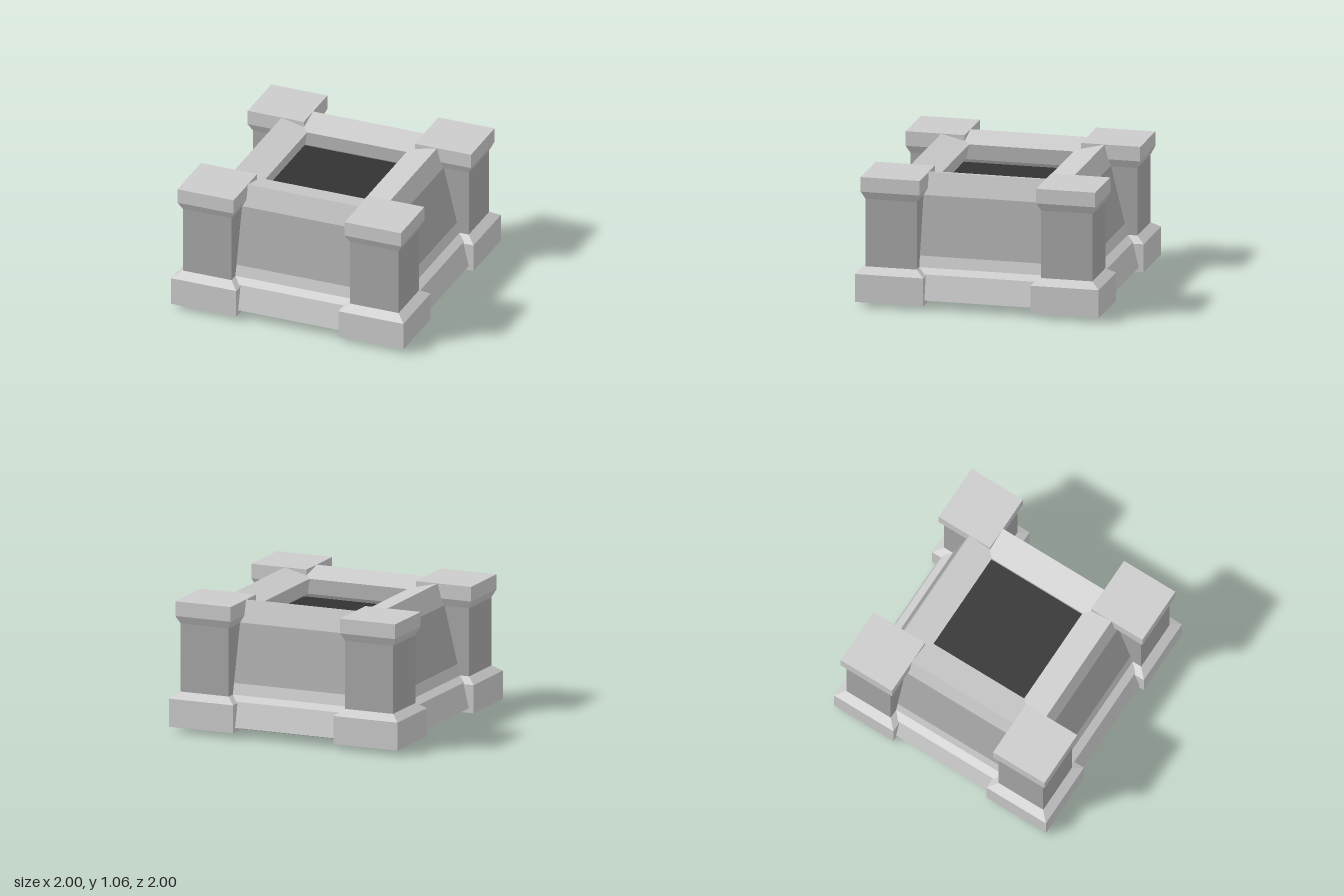
import * as THREE from 'three';

const material = (color) => new THREE.MeshStandardMaterial({ color, flatShading: true });
const light = material(0xcccccc);
const mid = material(0xa8a8a8);
const dark = material(0x333333);

// Post parts: four-sided profiles of [half width, height], bottom to top
const postParts = [
  ['foot', light, [[0, 0.04], [0.28, 0.04], [0.28, 0.27], [0.21, 0.32]]],
  ['shaft', mid, [[0.21, 0.32], [0.21, 0.875]]],
  ['cap', light, [[0.21, 0.875], [0.242, 0.94], [0.242, 1.06], [0, 1.06]]],
];

// Wall parts: sections of [distance outwards, distance upwards] in the leaning frame,
// with a plinth and a coping that step out on the inside
const lean = Math.atan2(0.237, 0.971);
const wallParts = [
  ['plinth', light, [[0.651, -0.159], [0.951, -0.152], [0.951, 0.056], [0.902, 0.109], [0.902, 0.202],
    [0.7, 0.202], [0.7, 0.109], [0.651, 0.056]]],
  ['panel', mid, [[0.7, 0.202], [0.902, 0.202], [0.902, 0.685], [0.7, 0.685]]],
  ['coping', light, [[0.7, 0.685], [0.902, 0.685], [0.902, 0.87], [0.653, 0.87], [0.653, 0.735]]],
];

// Square turned part
function turned(profile) {
  const points = profile.map(([h, y]) => new THREE.Vector2(h * Math.SQRT2, y));
  return new THREE.LatheGeometry(points, 4).rotateY(Math.PI / 4);
}

// Section extruded along z, facing +x and leaning inwards
function leaning(section) {
  const shape = new THREE.Shape(section.map(([x, y]) => new THREE.Vector2(x, y)));
  return new THREE.ExtrudeGeometry(shape, { depth: 1.02, bevelEnabled: false })
    .translate(0, 0, -0.51)
    .rotateZ(lean);
}

function assemble(name, parts, build) {
  const group = new THREE.Group();
  group.name = name;
  for (const [part, mat, outline] of parts) {
    const mesh = new THREE.Mesh(build(outline), mat);
    mesh.name = part;
    group.add(mesh);
  }
  return group;
}

export function createModel() {
  const model = new THREE.Group();
  model.name = 'walledPlinth';

  // Corner posts
  for (const [side, x] of [['Left', 0.72], ['Right', -0.72]]) {
    for (const [end, z] of [['front', 0.72], ['back', -0.72]]) {
      const post = assemble(`${end}${side}Post`, postParts, turned);
      post.position.set(x, 0, z);
      model.add(post);
    }
  }

  // Leaning walls between the posts
  ['leftWall', 'backWall', 'rightWall', 'frontWall'].forEach((name, i) => {
    const wall = assemble(name, wallParts, leaning);
    wall.rotation.y = (i * Math.PI) / 2;
    model.add(wall);
  });

  // Dark slab sunk in the opening
  const slab = new THREE.Mesh(new THREE.BoxGeometry(1.04, 0.02, 1.04), dark);
  slab.name = 'sunkenSlab';
  slab.position.y = 0.82;
  model.add(slab);

  return model;
}
